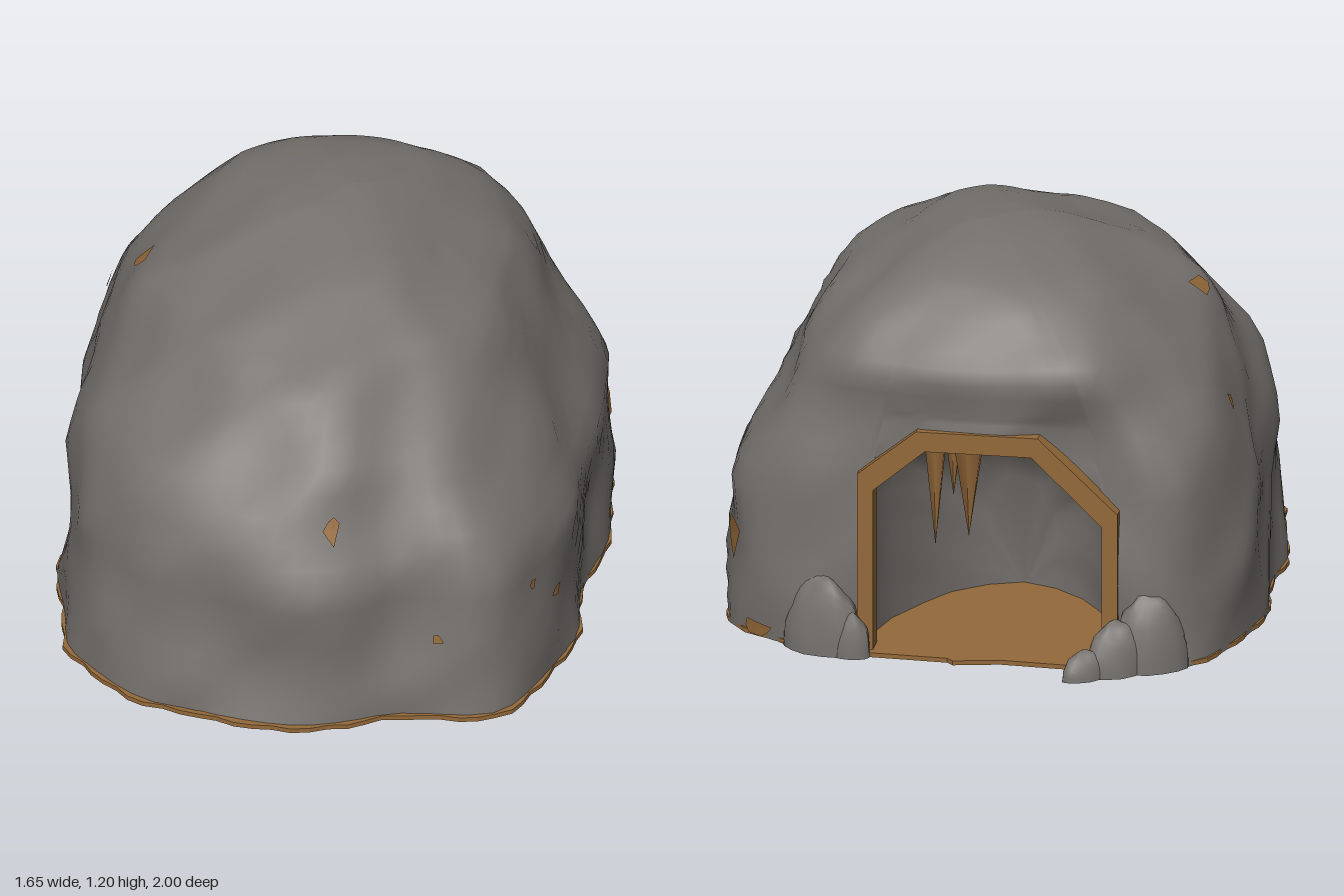
import * as THREE from 'three';

const rock = new THREE.MeshStandardMaterial({ color: 0x76726e, side: THREE.DoubleSide });
rock.name = 'grey rock';
const earth = new THREE.MeshStandardMaterial({ color: 0x94693a, side: THREE.DoubleSide });
earth.name = 'brown earth and wood';

// Height, left, right, front and back extents of the mound
const PROFILE = [
  [0, -0.81, 0.80, 0.975, -0.85], [0.2, -0.80, 0.79, 0.95, -0.85], [0.45, -0.79, 0.79, 0.945, -0.83],
  [0.6, -0.76, 0.72, 0.88, -0.83], [0.75, -0.71, 0.64, 0.79, -0.83], [0.9, -0.62, 0.58, 0.63, -0.875],
  [1.0, -0.53, 0.52, 0.50, -0.79], [1.08, -0.40, 0.37, 0.37, -0.72], [1.15, -0.22, 0.26, 0.18, -0.63],
  [1.19, -0.07, 0.12, -0.08, -0.42],
];
// Plan outline, from the +x side of the mouth round the front to the other side
const PLAN = new THREE.CatmullRomCurve3([
  [0.34, -0.84], [0.56, -0.82], [0.74, -0.69], [0.81, -0.38], [0.79, 0], [0.8, 0.33], [0.73, 0.62],
  [0.61, 0.81], [0.32, 0.85], [0.16, 0.94], [0, 0.97], [-0.2, 0.93], [-0.43, 0.86], [-0.67, 0.64],
  [-0.76, 0.35], [-0.78, 0], [-0.81, -0.38], [-0.77, -0.6], [-0.63, -0.83], [-0.45, -0.84],
].map(([x, z]) => new THREE.Vector3(x, 0, z)), false, 'centripetal');
// Mouth of the cave (x, y)
const ARCH = [[0.32, 0], [0.32, 0.55], [0.15, 0.69], [-0.2, 0.69], [-0.43, 0.47], [-0.43, 0]];
const MID = -0.055;
const BROW = 0.78;

const lerp = THREE.MathUtils.lerp;

function extents(y) {
  let i = 1;
  while (i < PROFILE.length - 1 && PROFILE[i][0] < y) i++;
  const a = PROFILE[i - 1], b = PROFILE[i];
  const t = THREE.MathUtils.clamp((y - a[0]) / (b[0] - a[0]), 0, 1);
  return a.map((v, k) => lerp(v, b[k], t));
}

// Broad lumps with a few sharp ridges
function lumps(x, y, z) {
  return 0.012 * Math.sin(5 * x + 4 * y + 1) * Math.sin(6 * z - 5 * y)
    + 0.018 * (0.5 - Math.abs(Math.sin(4.3 * x - 3.1 * z + 5 * y + 0.6)))
    + 0.014 * (0.5 - Math.abs(Math.sin(6.1 * z + 5.2 * x - 7 * y)))
    + 0.007 * Math.sin(15 * x + 4 * z) * Math.sin(13 * y + 9 * z);
}

// Point on the mound for a plan position and a height
function surface(px, pz, y, lift = 0) {
  const [, xl, xr, zf, zb] = extents(y);
  const cx = 0.03 * y, cz = -0.21 * y;
  let nx = px / 0.8, nz = pz / (pz > 0 ? 0.97 : 0.85);
  const round = lerp(1, 1 / Math.hypot(nx, nz), 0.7 * THREE.MathUtils.smoothstep(y, 0.5, 1.1));
  nx *= round; nz *= round;
  const x = cx + (nx > 0 ? nx * (xr - cx) : nx * (cx - xl));
  const z = cz + (nz > 0 ? nz * (zf - cz) : nz * (cz - zb));
  const d = lumps(x, y, z) + lift, len = Math.hypot(nx, nz);
  return new THREE.Vector3(x + nx / len * d, y + d * 0.5 * Math.min(1, y), z + nz / len * d);
}

// Skin rows of points; stained(row, column) picks the second material
function skin(rows, closed, stained = () => false) {
  const n = rows[0].length, plain = [], stain = [];
  for (let r = 0; r < rows.length - 1; r++) {
    for (let c = 0; c < (closed ? n : n - 1); c++) {
      const d = (c + 1) % n, a = r * n + c, b = r * n + d;
      (stained(r, c) ? stain : plain).push(a, a + n, b, b, a + n, b + n);
    }
  }
  const geo = new THREE.BufferGeometry().setFromPoints(rows.flat());
  geo.setIndex([...plain, ...stain]);
  geo.addGroup(0, plain.length, 0);
  geo.addGroup(plain.length, stain.length, 1);
  geo.computeVertexNormals();
  return geo;
}

function add(group, name, geo, mat) {
  const mesh = new THREE.Mesh(geo, mat);
  mesh.name = name;
  group.add(mesh);
  return mesh;
}

function mouthHeight(x) {
  for (let i = 1; i < 4; i++) {
    const [x0, y0] = ARCH[i], [x1, y1] = ARCH[i + 1];
    if (x <= x0 && x >= x1) return lerp(y0, y1, (x0 - x) / (x0 - x1));
  }
  return 0;
}

// Columns over the mouth start at the arch; all columns share levels above the brow
function moundGeometry() {
  const columns = PLAN.getSpacedPoints(72).map(p => [p.x, p.z, 0]);
  for (let i = 0; i <= 16; i++) {
    const x = lerp(-0.43, 0.32, i / 16);
    columns.push([x, -0.835 - 0.012 * Math.cos((x + 0.02) * 4), mouthHeight(x)]);
  }
  const rows = [];
  for (let r = 0; r <= 12; r++)
    rows.push(columns.map(([x, z, y0]) => surface(x, z, lerp(y0, BROW, r / 12))));
  for (let r = 1; r <= 12; r++) {
    const t = 1 - (1 - r / 12) ** 1.5;
    rows.push(columns.map(([x, z]) => surface(x, z, lerp(BROW, 1.19, t))));
  }
  rows.push(columns.map(() => new THREE.Vector3(0.04, 1.2, -0.25)));
  return skin(rows, true);
}

// Hollow behind the mouth, narrowing inwards, open to the floor
function chamberGeometry() {
  const ring = new THREE.Shape(ARCH.map(p => new THREE.Vector2(...p))).getSpacedPoints(30);
  const sections = [[-0.82, 1], [-0.7, 1], [-0.56, 0.9], [-0.42, 0.74], [-0.3, 0.54], [-0.22, 0.28], [-0.18, 0]];
  const rows = sections.map(([z, s], r) => ring.map(p => {
    const d = r ? 2 * lumps(p.x * 2, p.y * 2, z * 2) : 0;
    return new THREE.Vector3(MID + (p.x - MID) * s * (1 + d), p.y * Math.sqrt(s) * (1 + d), z);
  }));
  return skin(rows, false, (r, c) => r < 3 && c > 14 && c < 21 && (r + c) % 3 > 0);
}

// Timber arch with mitred corners
function frameGeometry() {
  const edge = (sx, sy) => ARCH.map(([x, y]) => new THREE.Vector2(MID + (x - MID) * sx, y * sy));
  const shape = new THREE.Shape([...edge(1.06, 1.04), ...edge(0.93, 0.95).reverse()]);
  return new THREE.ExtrudeGeometry(shape, { depth: 0.07, bevelEnabled: false }).translate(0, 0, -0.85);
}

// Thin ground slab whose ragged rim shows here and there, with a doorstep
function floorGeometry() {
  const outline = PLAN.getSpacedPoints(90).map((p, i) => {
    const s = surface(p.x, p.z, 0, 0.003 + 0.007 * Math.sin(i * 2.1) + 0.016 * Math.max(0, p.z - 0.2));
    return new THREE.Vector2(s.x, -s.z);
  });
  for (const [x, z] of [[-0.4, -0.86], [-0.3, -0.89], [-0.1, -0.88], [0.04, -0.91], [0.06, -0.89], [0.3, -0.88]])
    outline.push(new THREE.Vector2(x, -z));
  return new THREE.ExtrudeGeometry(new THREE.Shape(outline), { depth: 0.014, bevelEnabled: false }).rotateX(-Math.PI / 2);
}

// Small earthy stain lying on the mound: compass point (x, z), height, width and height of stain
function stainGeometry(x, z, y, w, h) {
  const samples = PLAN.getSpacedPoints(300);
  const off = p => Math.abs(Math.atan2(p.x * z - p.z * x, p.x * x + p.z * z));
  const mid = samples.reduce((best, p, i) => (off(p) < off(samples[best]) ? i : best), 0) / 300;
  const at = (du, dy) => {
    const p = PLAN.getPointAt(THREE.MathUtils.clamp(mid + du / 5, 0, 1));
    return surface(p.x, p.z, y + dy, 0.011);
  };
  const rim = [];
  for (let i = 0; i < 7; i++) {
    const a = i / 7 * Math.PI * 2, r = 0.52 + 0.14 * Math.sin(i * 2.6 + x * 9);
    rim.push(at(Math.cos(a) * w * r, Math.sin(a) * h * r));
  }
  return skin([rim.map(() => at(0, 0)), rim], true);
}

// Half-buried boulder, broad at the foot
function boulderGeometry(sx, sy, sz) {
  const geo = new THREE.SphereGeometry(1, 14, 10, 0, Math.PI * 2, 0, Math.PI / 2);
  const p = geo.attributes.position;
  for (let i = 0; i < p.count; i++) {
    const v = new THREE.Vector3().fromBufferAttribute(p, i);
    v.multiplyScalar(1 + 3 * lumps(v.x * 0.6, v.y * 0.6, v.z * 0.6));
    p.setXYZ(i, v.x * sx, v.y * sy, v.z * sz);
  }
  geo.computeVertexNormals();
  return geo;
}

export function createModel() {
  const group = new THREE.Group();
  group.name = 'rock cave';
  add(group, 'mound', moundGeometry(), rock);
  add(group, 'chamber', chamberGeometry(), [rock, earth]);
  add(group, 'mouthFrame', frameGeometry(), earth);
  add(group, 'floor', floorGeometry(), earth);

  // Boulders beside the mouth: x, z, half sizes, turn
  for (const [x, z, sx, sy, sz, turn] of [
    [0.45, -0.83, 0.13, 0.24, 0.07, -0.3], [0.36, -0.865, 0.065, 0.14, 0.05, -0.3],
    [-0.55, -0.83, 0.12, 0.24, 0.07, 0.4], [-0.46, -0.88, 0.11, 0.16, 0.065, 0.7],
    [-0.375, -0.945, 0.085, 0.085, 0.045, 0.75],
  ]) {
    const b = add(group, 'boulder', boulderGeometry(sx, sy, sz), rock);
    b.position.set(x, 0, z);
    b.rotation.y = turn;
  }

  // Spikes hanging inside the mouth: x, z, radius, length
  for (const [x, z, r, len] of [[0.13, -0.69, 0.04, 0.38], [0.04, -0.62, 0.06, 0.37], [0.09, -0.6, 0.035, 0.25]]) {
    const s = add(group, 'hangingSpike', new THREE.ConeGeometry(r, len, 6).rotateX(Math.PI), earth);
    s.position.set(x, 0.68 - len / 2, z);
  }

  // Earth showing through the rock
  for (const s of [
    [0.12, 0.95, 0.63, 0.05, 0.07], [0.45, 0.85, 0.26, 0.03, 0.03], [0.72, 0.66, 0.36, 0.03, 0.03],
    [0.8, 0.53, 0.26, 0.06, 0.03], [0.8, 0.07, 0.34, 0.03, 0.04], [0.78, -0.62, 0.28, 0.15, 0.12],
    [-0.8, 0.12, 0.96, 0.1, 0.05], [-0.8, -0.3, 0.71, 0.04, 0.05], [0.66, -0.76, 0.03, 0.1, 0.05],
  ]) add(group, 'earthStain', stainGeometry(...s), earth);
  return group;
}
